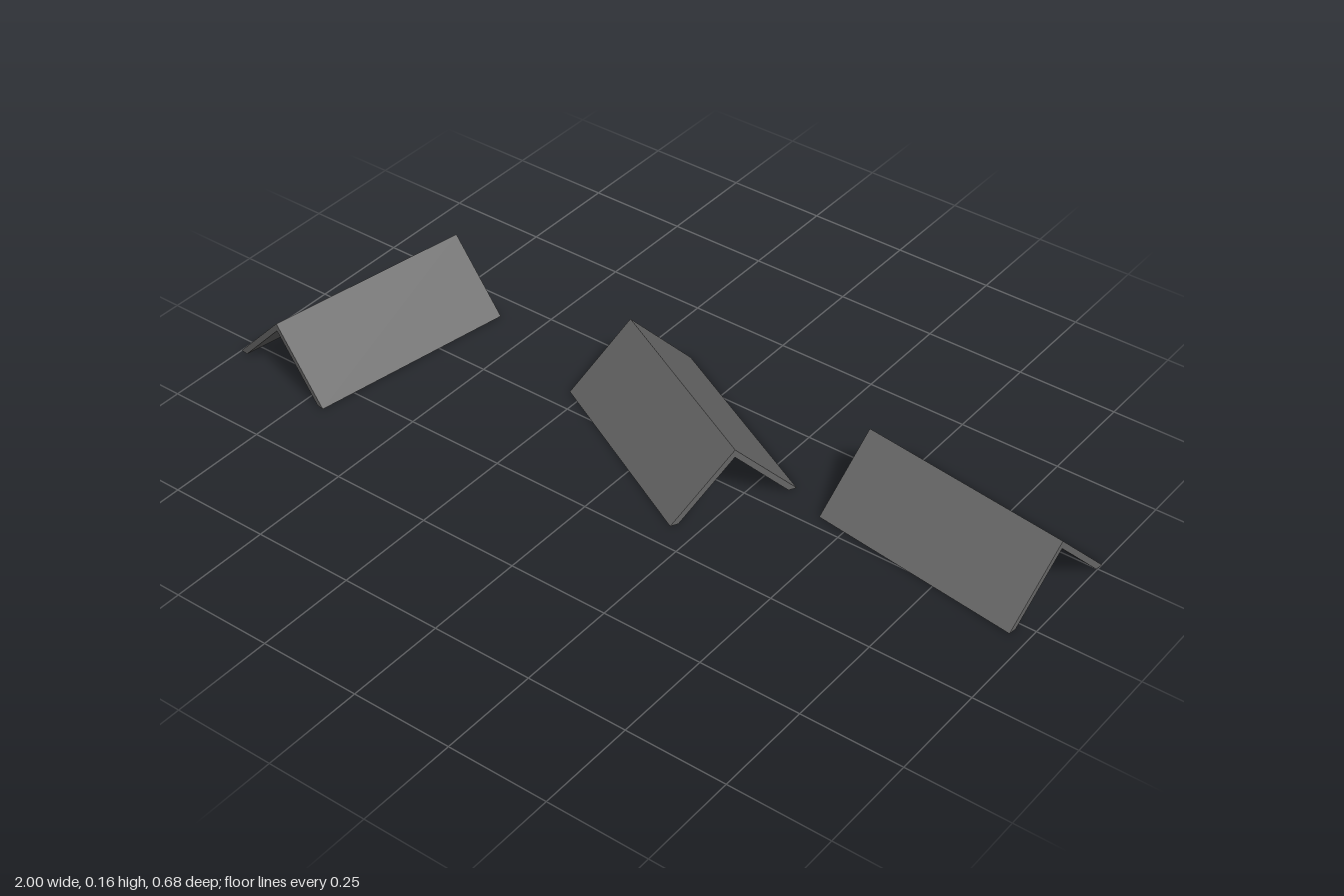
import * as THREE from 'three';

const HALF_WIDTH = 0.155, HEIGHT = 0.159, LENGTH = 0.535, WALL = 0.02;

// Inverted-V section, extruded along the ridge
function roofGeometry() {
  const s = new THREE.Shape();
  s.moveTo(-HALF_WIDTH, 0);
  s.lineTo(-HALF_WIDTH + WALL, 0);
  s.lineTo(0, HEIGHT - WALL);
  s.lineTo(HALF_WIDTH - WALL, 0);
  s.lineTo(HALF_WIDTH, 0);
  s.lineTo(0, HEIGHT);
  s.closePath();
  const g = new THREE.ExtrudeGeometry(s, { depth: LENGTH, bevelEnabled: false });
  g.translate(0, 0, -LENGTH / 2);
  return g;
}

export function createModel() {
  const model = new THREE.Group();
  model.name = 'foldedShelters';
  const darkGrey = new THREE.MeshStandardMaterial({ color: 0x666666 });
  darkGrey.name = 'darkGrey';
  const geometry = roofGeometry();

  // Name, centre x, centre z, ridge direction (x, z)
  const shelters = [
    ['rightShelter', -0.802, 0.05, -0.09, 0.525],
    ['middleShelter', 0.0225, -0.07, 0.475, 0.245],
    ['leftShelter', 0.7145, -0.15, 0.5325, 0.0725],
  ];
  for (const [name, x, z, dx, dz] of shelters) {
    const mesh = new THREE.Mesh(geometry, darkGrey);
    mesh.name = name;
    mesh.position.set(x, 0, z);
    mesh.rotation.y = Math.atan2(dx, dz);
    model.add(mesh);
  }
  return model;
}
